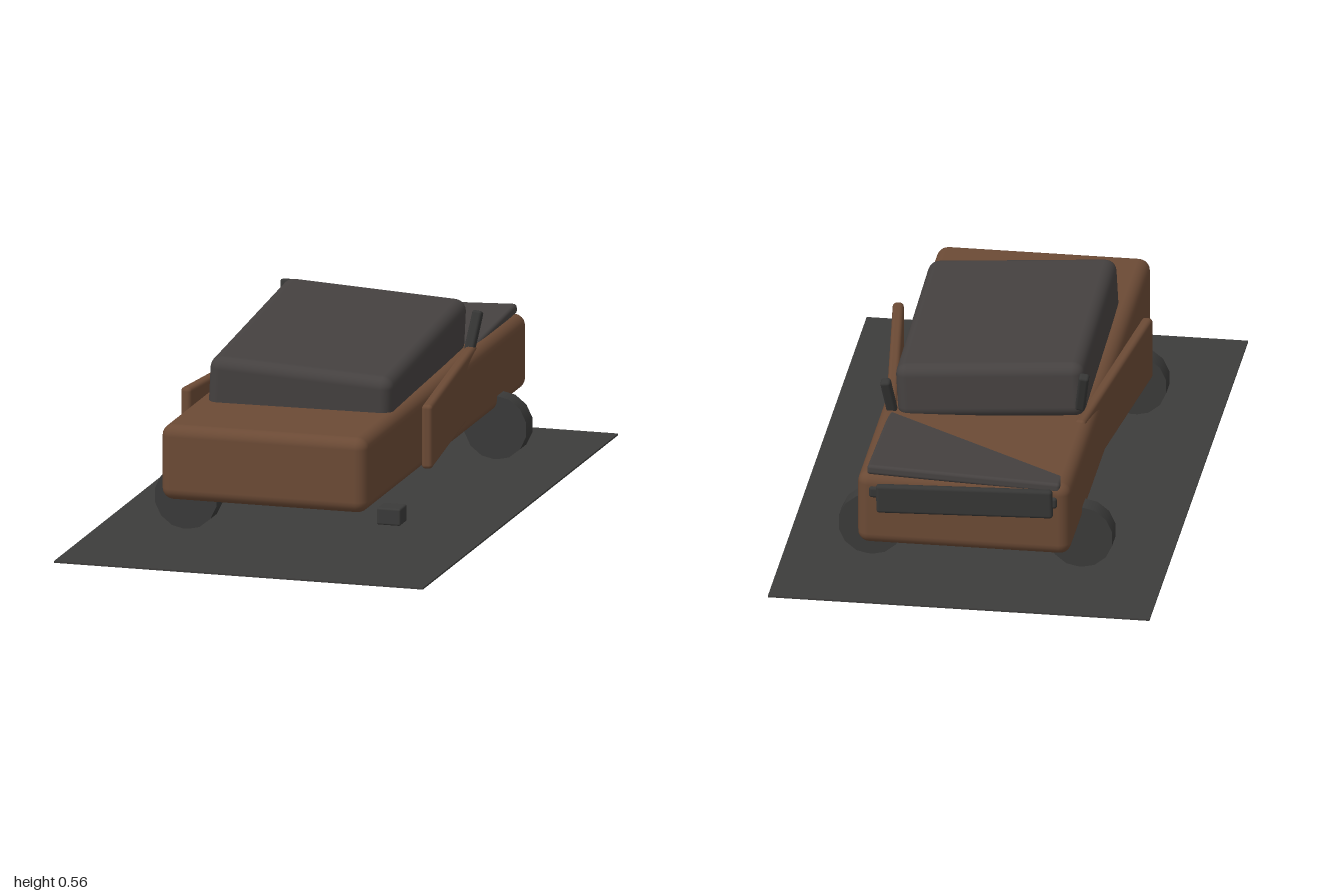
import * as THREE from 'three';
import { RoundedBoxGeometry } from 'three/addons/geometries/RoundedBoxGeometry.js';

const paint = (color) => new THREE.MeshStandardMaterial({ color });
const rust = paint(0x6b4a35);
const cloth = paint(0x454140);
const rubber = paint(0x3a3a39);
const steel = paint(0x363635);
const tarmac = paint(0x3d3c3b);

export function createModel() {
  const group = new THREE.Group();

  const add = (name, geometry, material, position, rotation = [0, 0, 0]) => {
    const mesh = new THREE.Mesh(geometry, material);
    mesh.name = name;
    mesh.position.set(...position);
    mesh.rotation.set(...rotation);
    group.add(mesh);
    return mesh;
  };
  const rounded = (w, h, d, r) => new RoundedBoxGeometry(w, h, d, 3, r);

  // Ground slab
  add('ground', new THREE.BoxGeometry(1.146, 0.005, 2), tarmac, [0, 0.0025, 0]);

  // Main hull
  add('body', rounded(0.64, 0.23, 1.66, 0.035), rust, [0, 0.265, -0.08]);

  // Collapsed cabin, leaning to one side
  add('cabin', rounded(0.565, 0.17, 0.88, 0.035), cloth, [0, 0.438, -0.015], [0.05, 0.03, -0.062]);

  // Loose rear lid, mostly sunk into the hull
  add('rearLid', rounded(0.58, 0.03, 0.53, 0.01), cloth, [0, 0.3645, -0.64], [0.06, 0, 0.04]);

  // Doors hanging open, and bent posts behind the cabin
  for (const side of [-1, 1]) {
    add('door', rounded(0.033, 0.196, 0.77, 0.012), rust, [side * 0.329, 0.288, -0.075], [0, side * 0.12, 0]);
    const top = side < 0 ? 0.54 : 0.485;
    add('post', rounded(0.03, 0.13, 0.03, 0.008), steel,
      [side * 0.29, top - 0.06, -0.452], [-0.3, 0, -side * 0.14]);
  }

  // Wheels turned sideways; one corner rests on a block instead
  const wheel = new THREE.CylinderGeometry(0.098, 0.098, 0.065, 14).rotateX(Math.PI / 2);
  for (const [x, z] of [[-0.315, 0.467], [-0.315, -0.625], [0.315, -0.625]]) {
    add('wheel', wheel, rubber, [x, 0.101, z]);
  }
  add('block', rounded(0.074, 0.052, 0.07, 0.006), rubber, [0.315, 0.086, 0.467]);

  // Rear bumper with the bar behind it
  add('bumper', rounded(0.53, 0.09, 0.025, 0.01), steel, [-0.005, 0.315, -0.915], [0, 0, -0.03]);
  add('bumperBar', rounded(0.565, 0.035, 0.022, 0.009), steel, [0, 0.325, -0.908]);

  return group;
}
